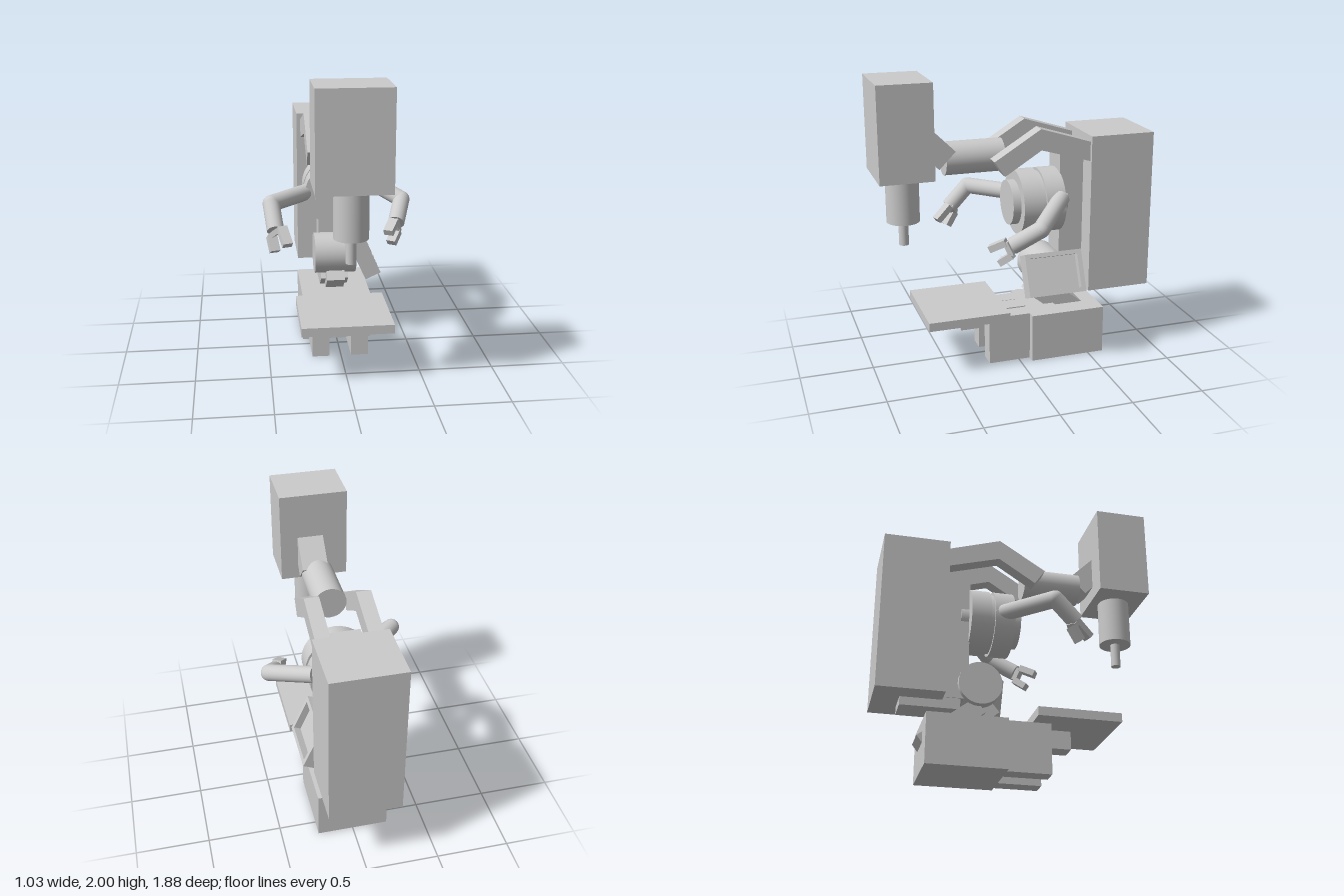
import * as THREE from 'three';

const V = (x, y, z) => new THREE.Vector3(x, y, z);

export function createModel() {
  const model = new THREE.Group();
  const mat = new THREE.MeshStandardMaterial({ color: 0xcccccc });

  const add = (name, geo, parent = model) => {
    const m = new THREE.Mesh(geo, mat);
    m.name = name;
    parent.add(m);
    return m;
  };
  // Box from its minimum and maximum on each axis
  const box = (name, x0, x1, y0, y1, z0, z1) => {
    const m = add(name, new THREE.BoxGeometry(x1 - x0, y1 - y0, z1 - z0));
    m.position.set((x0 + x1) / 2, (y0 + y1) / 2, (z0 + z1) / 2);
    return m;
  };
  // Cylinder between two points
  const rod = (name, a, b, r, parent = model, sides = 28) => {
    const m = add(name, new THREE.CylinderGeometry(r, r, a.distanceTo(b), sides), parent);
    m.position.copy(a).lerp(b, 0.5);
    m.quaternion.setFromUnitVectors(V(0, 1, 0), b.clone().sub(a).normalize());
    return m;
  };
  // Rectangular bar between two points, w across and h thick
  const bar = (name, a, b, w, h, parent = model) => {
    const m = add(name, new THREE.BoxGeometry(w, h, a.distanceTo(b)), parent);
    m.position.copy(a).lerp(b, 0.5);
    m.lookAt(b);
    return m;
  };

  // Base with two front prongs
  box('baseBlock', -0.245, 0.245, 0, 0.34, -0.61, -0.08);
  box('baseProngRight', -0.2, -0.08, 0, 0.34, -0.081, 0.215);
  box('baseProngLeft', 0.07, 0.19, 0, 0.34, -0.081, 0.215);
  box('traySupport', -0.065, 0.065, 0.22, 0.345, -0.09, 0.385);
  box('tray', -0.305, 0.3, 0.353, 0.413, 0.1, 0.663);

  // Sloping waist links
  bar('lowerLink', V(0, 0.18, -0.61), V(0, 0.466, -0.238), 0.2, 0.12);
  bar('upperLink', V(0, 0.22, -0.47), V(0, 0.487, -0.138), 0.13, 0.12);

  // Waist drum and spine
  rod('waistDrum', V(-0.147, 0.605, -0.245), V(0.147, 0.605, -0.245), 0.147);
  box('spine', -0.105, 0.1, 0.5, 1.49, -0.5, -0.32);
  box('spineFoot', -0.1, 0.1, 0.424, 0.5, -0.767, -0.37);
  box('backCabinet', -0.247, 0.247, 0.48, 1.583, -0.94, -0.49);

  // Chest discs: radius, back z, front z
  [[0.115, -0.38, -0.3], [0.225, -0.325, -0.19], [0.205, -0.2, -0.15],
    [0.225, -0.163, -0.027], [0.155, -0.05, 0.028]].forEach(([r, z0, z1]) =>
    rod('chestDisc', V(0, 1.105, z0), V(0, 1.105, z1), r));

  // Bent shoulder brackets
  const profile = new THREE.Shape([
    [-0.5, 1.407], [-0.143, 1.51], [0.11, 1.351], [0.182, 1.455], [-0.138, 1.653], [-0.5, 1.54],
  ].map(([z, y]) => new THREE.Vector2(z, y)));
  for (const [name, x] of [['bracketRight', -0.12], ['bracketLeft', 0.222]]) {
    const m = add(name, new THREE.ExtrudeGeometry(profile, { depth: 0.1, bevelEnabled: false }));
    m.rotation.y = -Math.PI / 2;
    m.position.x = x;
  }

  // Neck and head
  rod('neckCylinder', V(0, 1.45, 0.07), V(0, 1.45, 0.473), 0.112);
  bar('neckLink', V(0.025, 1.462, 0.4685), V(0.025, 1.64, 0.65), 0.18, 0.16);
  box('head', -0.235, 0.235, 1.365, 2, 0.58, 0.94);
  rod('headCylinder', V(0, 1.045, 0.752), V(0, 1.37, 0.752), 0.111);
  rod('headTip', V(0, 0.88, 0.752), V(0, 1.05, 0.752), 0.033);

  // Tilted side panel with a recessed face
  const panel = new THREE.Group();
  panel.name = 'sidePanel';
  panel.position.set(0.198, 0.62, -0.245);
  panel.rotation.z = 0.42;
  model.add(panel);
  const rect = (w, h) => [[-w, -h], [w, -h], [w, h], [-w, h]].map(([a, b]) => new THREE.Vector2(a / 2, b / 2));
  const frameShape = new THREE.Shape(rect(0.41, 0.295));
  frameShape.holes.push(new THREE.Path(rect(0.345, 0.235).reverse()));
  const frame = add('panelFrame', new THREE.ExtrudeGeometry(frameShape, { depth: 0.05, bevelEnabled: false }), panel);
  frame.rotation.y = Math.PI / 2;
  frame.position.x = 0.009;
  const back = add('panelBack', new THREE.BoxGeometry(0.068, 0.295, 0.41), panel);
  back.position.x = -0.025;

  // Arms: shoulder, elbow, wrist, then two gripper fingers as root and tip
  const arms = {
    rightArm: [V(-0.17, 1.112, -0.12), V(-0.465, 1.112, 0.18), V(-0.445, 0.97, 0.325),
      [[V(-0.405, 0.99, 0.335), V(-0.373, 0.9, 0.435)], [V(-0.47, 0.92, 0.285), V(-0.452, 0.83, 0.345)]]],
    leftArm: [V(0.19, 1.16, -0.3), V(0.455, 1.045, -0.06), V(0.39, 0.93, 0.115),
      [[V(0.37, 0.955, 0.15), V(0.315, 0.9, 0.245)], [V(0.395, 0.87, 0.115), V(0.347, 0.808, 0.185)]]],
  };
  for (const [name, [shoulder, elbow, wrist, fingers]] of Object.entries(arms)) {
    const arm = new THREE.Group();
    arm.name = name;
    model.add(arm);
    rod('upperArm', shoulder, elbow, 0.057, arm, 24);
    add('elbow', new THREE.SphereGeometry(0.057, 24, 16), arm).position.copy(elbow);
    rod('forearm', elbow, wrist, 0.057, arm, 24);
    bar('palm', fingers[0][0], fingers[1][0], 0.06, 0.035, arm);
    for (const [root, tip] of fingers) bar('finger', root, tip, 0.065, 0.045, arm);
  }
  return model;
}
